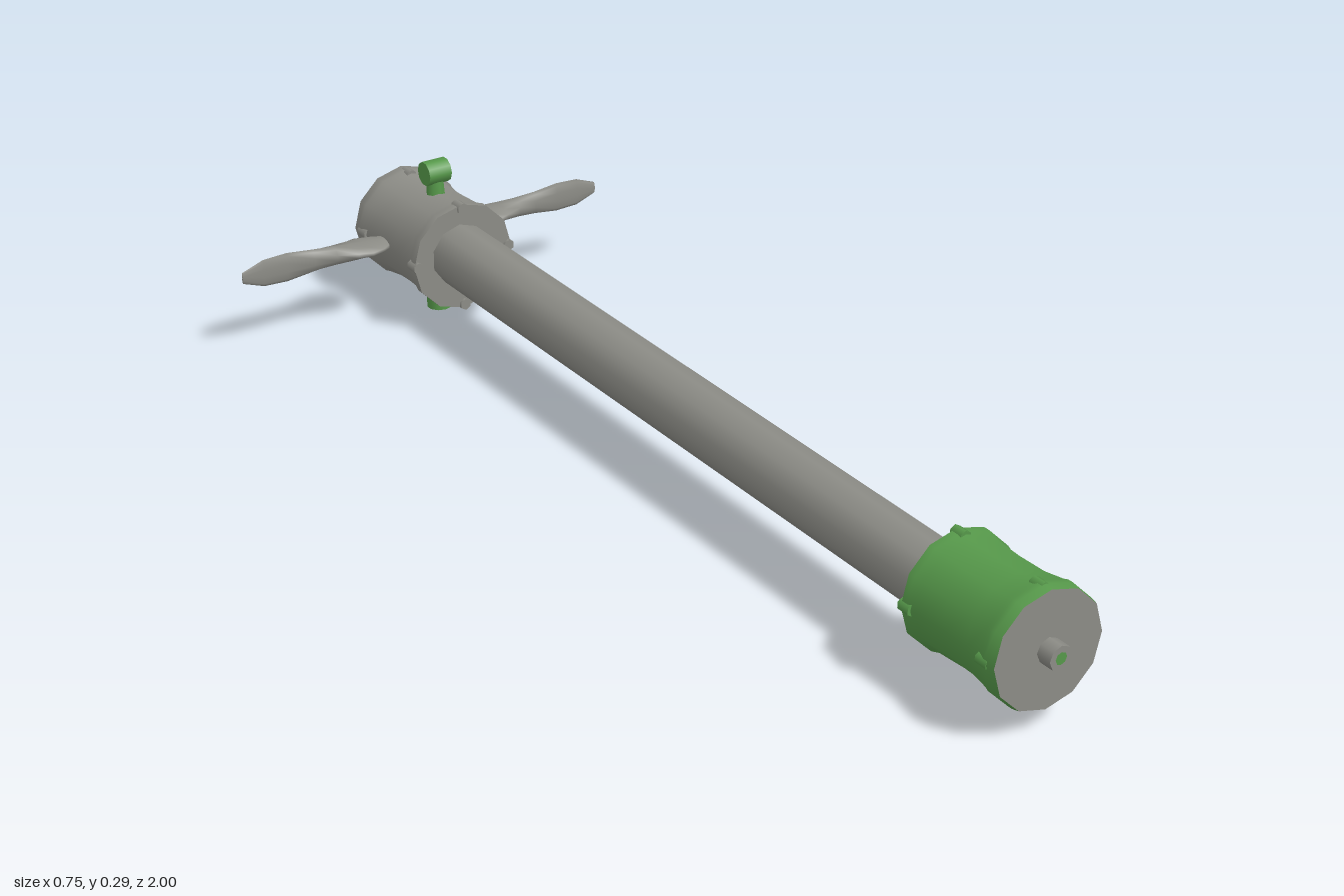
import * as THREE from 'three';

const grey = new THREE.MeshStandardMaterial({ color: 0x8c8c86 });
grey.name = 'steel grey';
const green = new THREE.MeshStandardMaterial({ color: 0x56984a });
green.name = 'valve green';

function add(parent, name, geometry, material, x = 0, y = 0, z = 0) {
  const mesh = new THREE.Mesh(geometry, material);
  mesh.name = name;
  mesh.position.set(x, y, z);
  parent.add(mesh);
  return mesh;
}

// Open tube wall along z; angle 0 is the bottom, a quarter turn is +x
function wall(radius, length, sides, start = 0, sweep = 360) {
  const rad = Math.PI / 180;
  return new THREE.CylinderGeometry(radius, radius, length, sides, 1, true, start * rad, sweep * rad)
    .rotateX(Math.PI / 2);
}

// End housing: local +z is the outer end, local z = 0 the inner flange
function housing(name, material) {
  const g = new THREE.Group();
  g.name = name;
  const profile = [
    [0.103, 0], [0.103, 0.014], [0.098, 0.03], [0.095, 0.09], [0.096, 0.15],
    [0.102, 0.19], [0.105, 0.2], [0.105, 0.21], [0.102, 0.225],
  ].map(([r, z]) => new THREE.Vector2(r, z));
  add(g, 'housingBody', new THREE.LatheGeometry(profile, 12).rotateX(Math.PI / 2), material);
  add(g, 'endPlate', new THREE.CircleGeometry(0.102, 12), grey, 0, 0, 0.225);
  add(g, 'innerFlange', new THREE.CircleGeometry(0.103, 12).rotateY(Math.PI), grey);
  // Flange bolts at both ends
  for (let i = 0; i < 4; i++) {
    const a = i * Math.PI / 2 + Math.PI / 2;
    for (const z of [0.008, 0.197]) {
      add(g, 'bolt', new THREE.CylinderGeometry(0.011, 0.011, 0.026, 6).rotateX(Math.PI / 2),
        material, 0.096 * Math.cos(a), 0.096 * Math.sin(a), z);
    }
  }
  return g;
}

// Paddle blade lofted from oval sections: [distance, half height, half depth]
function blade() {
  const sections = [
    [0, 0.01, 0.022], [0.015, 0.01, 0.034], [0.04, 0.011, 0.041], [0.065, 0.014, 0.033],
    [0.1, 0.018, 0.019], [0.14, 0.022, 0.01], [0.19, 0.028, 0.005],
    [0.235, 0.026, 0.004], [0.275, 0.011, 0.003], [0.276, 0.0005, 0.0005],
  ];
  const n = 10, pos = [], idx = [];
  sections.forEach(([x, h, d], s) => {
    for (let i = 0; i < n; i++) {
      const a = i / n * Math.PI * 2;
      pos.push(x, h * Math.cos(a), d * Math.sin(a));
      if (s > 0) {
        const j = (i + 1) % n, p = (s - 1) * n, q = s * n;
        idx.push(p + i, p + j, q + j, p + i, q + j, q + i);
      }
    }
  });
  const geo = new THREE.BufferGeometry();
  geo.setAttribute('position', new THREE.Float32BufferAttribute(pos, 3));
  // Wind corners so that faces point outward
  for (let i = 0; i < idx.length; i += 3) {
    const a = new THREE.Vector3().fromArray(pos, idx[i] * 3);
    const b = new THREE.Vector3().fromArray(pos, idx[i + 1] * 3);
    const c = new THREE.Vector3().fromArray(pos, idx[i + 2] * 3);
    const normal = b.clone().sub(a).cross(c.clone().sub(a));
    const out = a.add(b).add(c).setX(0);
    if (normal.dot(out) < 0) [idx[i + 1], idx[i + 2]] = [idx[i + 2], idx[i + 1]];
  }
  geo.setIndex(idx);
  geo.computeVertexNormals();
  return geo;
}

export function createModel() {
  const model = new THREE.Group();
  model.name = 'pipeAssembly';

  // Ten-sided shaft, green on its left side
  const shaft = new THREE.Group();
  shaft.name = 'shaft';
  shaft.position.set(0.009, 0.144, 0);
  shaft.rotation.y = -0.0085;
  add(shaft, 'shaftGreenSide', wall(0.059, 1.53, 3, 36, 108), green);
  add(shaft, 'shaftGreySide', wall(0.059, 1.53, 7, 144, 252), grey);
  model.add(shaft);

  // Front housing with a hollow grey nipple
  const front = housing('frontHousing', green);
  front.position.set(0.009, 0.145, 0.745);
  add(front, 'frontNipple', wall(0.022, 0.034, 8), grey, 0, 0, 0.238);
  add(front, 'nippleRim', new THREE.RingGeometry(0.011, 0.022, 8), grey, 0, 0, 0.255);
  add(front, 'nippleBore', new THREE.CircleGeometry(0.0125, 8), green, 0, 0, 0.253);
  model.add(front);

  // Rear housing turned to face backward
  const rear = housing('rearHousing', grey);
  rear.position.set(0.021, 0.138, -0.749);
  rear.rotation.y = Math.PI;
  add(rear, 'rearNippleTop', wall(0.022, 0.034, 4, 90, 180), green, 0, 0, 0.234);
  add(rear, 'rearNippleBottom', wall(0.022, 0.034, 4, 270, 180), grey, 0, 0, 0.234);
  add(rear, 'rearNippleRim', new THREE.RingGeometry(0.011, 0.022, 8), grey, 0, 0, 0.251);
  add(rear, 'rearNippleBore', new THREE.CircleGeometry(0.0125, 8), green, 0, 0, 0.249);
  model.add(rear);

  // Side blades
  add(model, 'leftBlade', blade(), grey, 0.1, 0.155, -0.857);
  const rightBlade = add(model, 'rightBlade', blade(), grey, -0.085, 0.152, -0.857);
  rightBlade.rotation.y = Math.PI;
  rightBlade.scale.x = 1.06;

  // Top tap: stem with a cross barrel
  add(model, 'topStem', new THREE.CylinderGeometry(0.014, 0.019, 0.06, 8), green, 0.023, 0.245, -0.848);
  add(model, 'topBarrel', new THREE.CylinderGeometry(0.023, 0.023, 0.046, 10).rotateZ(Math.PI / 2),
    green, 0.023, 0.272, -0.848);

  // Bottom outlet
  add(model, 'bottomOutlet', new THREE.CylinderGeometry(0.023, 0.023, 0.06, 10), green, 0.023, 0.03, -0.848);

  return model;
}
